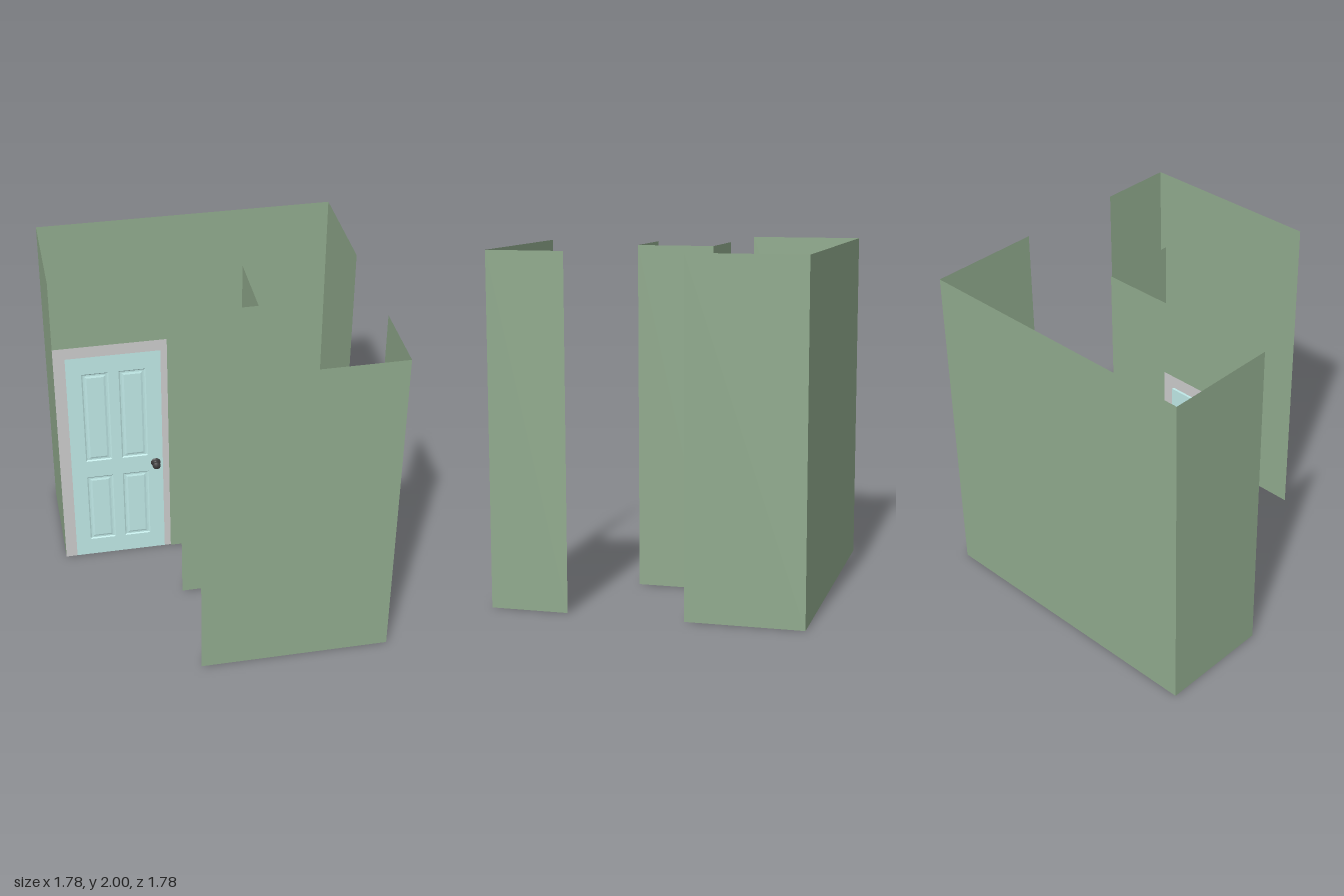
import * as THREE from 'three';

const H = 2;            // wall height
const R = 0.89;         // outer half size
const C = 0.222;        // core half size
const DOOR_X = -0.54;   // door centre line
const DOOR_Z = -0.236;  // door mid plane
const T = 0.007;        // half the door thickness

const wallMat = new THREE.MeshStandardMaterial({ color: 0x90aa8d, side: THREE.DoubleSide });
const frameMat = new THREE.MeshStandardMaterial({ color: 0xcccccc, side: THREE.DoubleSide });
const doorMat = new THREE.MeshStandardMaterial({ color: 0xbfe8e6, flatShading: true });
const knobMat = new THREE.MeshStandardMaterial({ color: 0x3a3a3a });

function add(parent, name, geometry, material) {
  const mesh = new THREE.Mesh(geometry, material);
  mesh.name = name;
  parent.add(mesh);
  return mesh;
}

// Thin upright wall between two floor points
function wall(parent, name, x1, z1, x2, z2) {
  const mesh = add(parent, name, new THREE.PlaneGeometry(Math.hypot(x2 - x1, z2 - z1), H), wallMat);
  mesh.position.set((x1 + x2) / 2, H / 2, (z1 + z2) / 2);
  mesh.rotation.y = -Math.atan2(z2 - z1, x2 - x1);
}

const rectPoints = (x, y, w, h) => [[x, y], [x + w, y], [x + w, y + h], [x, y + h]]
  .map(([a, b]) => new THREE.Vector2(a, b));

// Moulded panel: nested rectangles at [inset, depth], closed by a centre field
function panelGeometry(w, h) {
  const steps = [[0, 0], [0.008, -0.005], [0.018, -0.005], [0.03, -0.001]];
  const rings = steps.map(([i, z]) =>
    rectPoints(i - w / 2, i - h / 2, w - 2 * i, h - 2 * i).map((p) => [p.x, p.y, z]));
  const pos = [];
  const quad = (a, b, c, d) => pos.push(...a, ...b, ...c, ...a, ...c, ...d);
  for (let r = 0; r < rings.length - 1; r++) {
    for (let k = 0; k < 4; k++) {
      const n = (k + 1) % 4;
      quad(rings[r][k], rings[r][n], rings[r + 1][n], rings[r + 1][k]);
    }
  }
  quad(...rings[rings.length - 1]);
  const geo = new THREE.BufferGeometry();
  geo.setAttribute('position', new THREE.Float32BufferAttribute(pos, 3));
  geo.computeVertexNormals();
  return geo;
}

function createDoor() {
  const door = new THREE.Group();
  door.name = 'door';
  door.position.set(DOOR_X, 0, DOOR_Z);

  // Leaf with four panel openings
  const w = 0.16;
  const panels = [];
  for (const x of [-0.11, 0.11]) {
    panels.push({ x, y: 0.12, h: 0.49 }, { x, y: 0.73, h: 0.635 });
  }
  const leaf = new THREE.Shape(rectPoints(-0.28, 0, 0.56, 1.482));
  for (const p of panels) leaf.holes.push(new THREE.Path(rectPoints(p.x - w / 2, p.y, w, p.h)));
  const leafGeo = new THREE.ExtrudeGeometry(leaf, { depth: 2 * T, bevelEnabled: false });
  add(door, 'doorLeaf', leafGeo.translate(0, 0, -T), doorMat);

  // Panels on both faces
  for (const p of panels) {
    for (const side of [1, -1]) {
      const mesh = add(door, 'doorPanel', panelGeometry(w, p.h), doorMat);
      mesh.position.set(p.x, p.y + p.h / 2, side * T);
      if (side < 0) mesh.rotation.y = Math.PI;
    }
  }

  // Rosette, neck and knob turned as one profile, on both faces
  const profile = [[0.03, 0], [0.029, 0.004], [0.022, 0.007], [0.01, 0.01], [0.008, 0.017],
    [0.013, 0.02], [0.021, 0.025], [0.025, 0.034], [0.023, 0.043], [0.016, 0.05], [0, 0.053]]
    .map(([r, y]) => new THREE.Vector2(r, y));
  for (const side of [1, -1]) {
    const knob = add(door, 'doorKnob', new THREE.LatheGeometry(profile, 24), knobMat);
    knob.position.set(0.236, 0.67, side * T);
    knob.rotation.x = side * Math.PI / 2;
  }
  return door;
}

export function createModel() {
  const model = new THREE.Group();
  model.name = 'roomWithDoor';

  // Outer walls
  wall(model, 'backWall', -R, -R, R, -R);
  wall(model, 'leftSideWall', R, -R, R, -C);
  wall(model, 'rightSideWall', -R, -R, -R, -C);
  wall(model, 'frontWall', -C, R, R, R);
  wall(model, 'frontReturnWall', R, 0.445, R, R);

  // Inner core, open on one side
  wall(model, 'coreBackWall', -C, -C, C, -C);
  wall(model, 'coreSideWall', C, -C, C, C);
  wall(model, 'coreFrontWall', -C, C, C, C);

  // Door surround
  const frame = new THREE.Shape([[-0.35, 0], [-0.28, 0], [-0.28, 1.482], [0.28, 1.482],
    [0.28, 0], [0.35, 0], [0.35, 1.555], [-0.35, 1.555]].map(([x, y]) => new THREE.Vector2(x, y)));
  add(model, 'doorFrame', new THREE.ShapeGeometry(frame), frameMat)
    .position.set(DOOR_X, 0, DOOR_Z + T);

  model.add(createDoor());
  return model;
}
